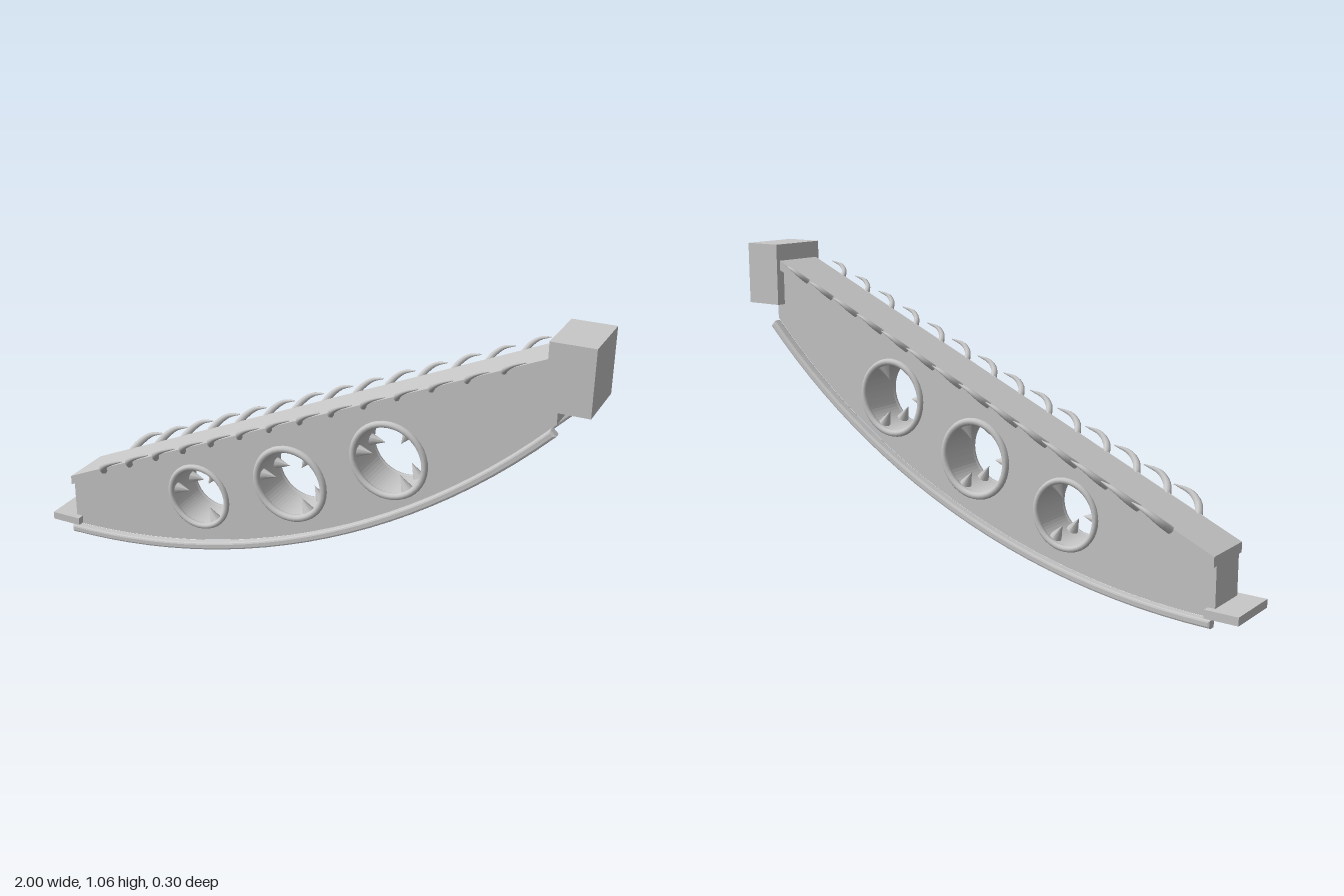
import * as THREE from 'three';

export function createModel() {
  const model = new THREE.Group();
  const grey = new THREE.MeshStandardMaterial({ color: 0xc8c8c8 });
  grey.name = 'lightGrey';

  const add = (name, geometry, x = 0, y = 0, z = 0, parent = model) => {
    const mesh = new THREE.Mesh(geometry, grey);
    mesh.name = name;
    mesh.position.set(x, y, z);
    parent.add(mesh);
    return mesh;
  };

  // Underside follows a circular arc, the top a straight slope
  const left = -0.91, arcY = 2.52, arcR = 2.52;
  const topY = x => 0.225 + (x - left) * 0.441;
  const arc = (r, end, n = 24) => Array.from({ length: n + 1 }, (_, i) => {
    const a = end * i / n;
    return new THREE.Vector2(left + r * Math.sin(a), arcY - r * Math.cos(a));
  });
  const extrude = (shape, depth, bevel = 0) => {
    const g = new THREE.ExtrudeGeometry(shape, {
      depth: depth - 2 * bevel, curveSegments: 32, bevelEnabled: bevel > 0,
      bevelThickness: bevel, bevelSize: bevel, bevelOffset: -bevel, bevelSegments: 2,
    });
    return g.translate(0, 0, bevel - depth / 2);
  };

  const holes = [
    { x: -0.37, y: 0.257, r: 0.105, outer: 0.124 },
    { x: -0.008, y: 0.39, r: 0.117, outer: 0.14 },
    { x: 0.35, y: 0.556, r: 0.117, outer: 0.138 },
  ];

  // Main beam with three round openings
  const webR = arcR - 0.025;
  const web = new THREE.Shape([
    ...arc(webR, Math.asin(1.8 / webR)),
    new THREE.Vector2(0.89, topY(0.89) - 0.02),
    new THREE.Vector2(left, topY(left) - 0.02),
  ]);
  for (const h of holes) {
    const path = new THREE.Path();
    path.absarc(h.x, h.y, h.r, 0, Math.PI * 2, true);
    web.holes.push(path);
  }
  add('beam', extrude(web, 0.15));

  // Sloping top plate
  const plate = new THREE.Shape([
    new THREE.Vector2(left, topY(left) - 0.034),
    new THREE.Vector2(0.87, topY(0.87) - 0.034),
    new THREE.Vector2(0.87, topY(0.87)),
    new THREE.Vector2(left, topY(left)),
  ]);
  add('topPlate', extrude(plate, 0.188));

  // Curved rails along both lower edges
  const railEnd = Math.asin(1.81 / arcR);
  const rail = new THREE.Shape([...arc(arcR, railEnd), ...arc(arcR - 0.027, railEnd).reverse()]);
  for (const s of [1, -1]) {
    add(s > 0 ? 'frontRail' : 'backRail', extrude(rail, 0.034, 0.007), 0, 0, s * 0.0915);
  }

  // End block and foot tab
  add('endBlock', new THREE.BoxGeometry(0.142, 0.218, 0.218), 0.928, 0.954, 0);
  add('footTab', new THREE.BoxGeometry(0.115, 0.028, 0.2), -0.9425, 0.042, 0);

  // Rims and inward spikes of the openings, on both faces
  for (const h of holes) {
    const opening = new THREE.Group();
    opening.name = 'opening';
    opening.position.set(h.x, h.y, 0);
    model.add(opening);
    const tube = (h.outer - h.r) / 2 + 0.001;
    for (const s of [1, -1]) {
      add('rim', new THREE.TorusGeometry(h.outer - tube, tube, 10, 40), 0, 0, s * 0.076, opening);
      for (const a of [Math.PI / 3, Math.PI, -Math.PI / 3]) {
        const d = h.r - 0.023;
        const spike = add('spike', new THREE.ConeGeometry(0.024, 0.06, 8),
          d * Math.cos(a), d * Math.sin(a), s * 0.05, opening);
        spike.rotation.z = a + Math.PI / 2;
      }
    }
  }

  // Tapered curved claw, built as a tube whose rings shrink toward the tip
  const claw = (side, scale) => {
    const curve = new THREE.CatmullRomCurve3([
      [-0.005, -0.012, 0], [0.015, 0.018, 0.034], [0.05, 0.046, 0.049], [0.108, 0.066, 0.042],
    ].map(([x, y, z]) => new THREE.Vector3(x, y, z * side).multiplyScalar(scale)));
    const n = 10, ring = 9;
    const g = new THREE.TubeGeometry(curve, n, 0.014 * scale, ring - 1, false);
    const p = g.attributes.position, v = new THREE.Vector3();
    for (let i = 0; i <= n; i++) {
      const c = curve.getPointAt(i / n);
      const k = 1 - 0.88 * Math.pow(i / n, 2);
      for (let j = 0; j < ring; j++) {
        v.fromBufferAttribute(p, i * ring + j).sub(c).multiplyScalar(k).add(c);
        p.setXYZ(i * ring + j, v.x, v.y, v.z);
      }
    }
    g.computeVertexNormals();
    return g;
  };

  // Fourteen claws along each top edge, smaller toward the high end
  for (let i = 0; i < 14; i++) {
    const x = -0.755 + i * 0.1138;
    for (const s of [1, -1]) {
      add(s > 0 ? 'frontClaw' : 'backClaw', claw(s, 1 - 0.32 * i / 13), x, topY(x), s * 0.092);
    }
  }

  return model;
}
